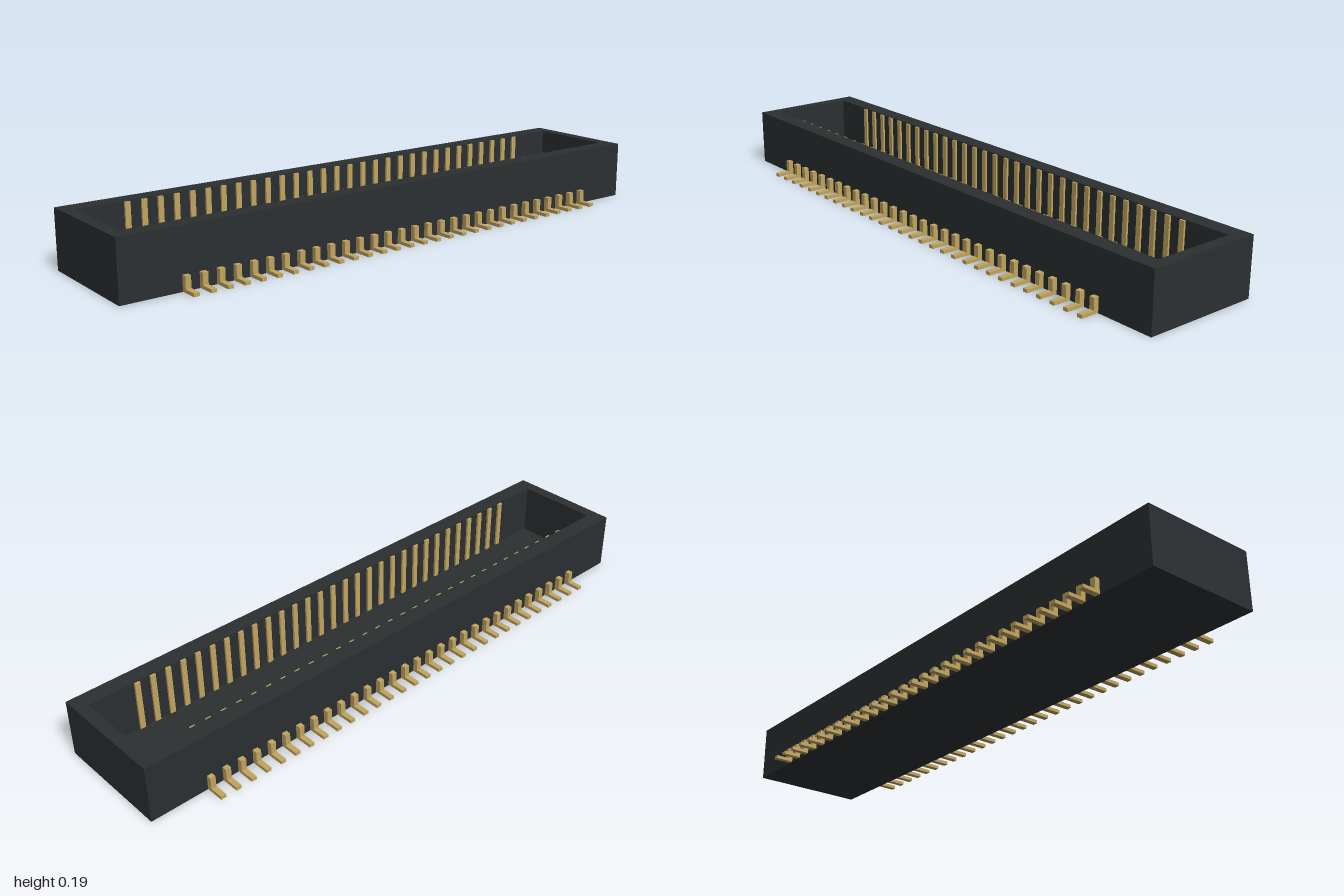
import * as THREE from 'three';

const plastic = new THREE.MeshStandardMaterial({ color: 0x2b2f31 });
const gold = new THREE.MeshStandardMaterial({ color: 0xc2a55f });

const HEIGHT = 0.192, FLOOR = 0.02;
const OUTER = { x: 1, z: 0.198 }, INNER = { x: 0.96, z: 0.141 };
const PINS = 30, FIRST_X = -0.797, PIN_WIDTH = 0.018;

function rectangle(Type, { x, z }) {
  return new Type([[-x, -z], [x, -z], [x, z], [-x, z]].map(p => new THREE.Vector2(...p)));
}

// Extrudes a z/y profile along x, centred on x = 0
function extrudeAlongX(points, width) {
  const shape = new THREE.Shape(points.map(([z, y]) => new THREE.Vector2(z, y)));
  return new THREE.ExtrudeGeometry(shape, { depth: width, bevelEnabled: false })
    .translate(0, 0, -width / 2)
    .rotateY(-Math.PI / 2);
}

function addMesh(parent, name, geometry, material) {
  const mesh = new THREE.Mesh(geometry, material);
  mesh.name = name;
  parent.add(mesh);
  return mesh;
}

export function createModel() {
  const model = new THREE.Group();
  model.name = 'pinConnector';

  // Housing: a rectangular wall ring closed by a thin floor
  const housing = new THREE.Group();
  housing.name = 'housing';
  model.add(housing);
  const ring = rectangle(THREE.Shape, OUTER);
  ring.holes.push(rectangle(THREE.Path, INNER));
  const walls = new THREE.ExtrudeGeometry(ring, { depth: HEIGHT, bevelEnabled: false });
  addMesh(housing, 'walls', walls.rotateX(-Math.PI / 2), plastic);
  const floor = new THREE.BoxGeometry(INNER.x * 2, FLOOR, INNER.z * 2);
  addMesh(housing, 'floor', floor.translate(0, FLOOR / 2, 0), plastic);

  // L-shaped solder leg outside the wall
  const leg = extrudeAlongX([
    [OUTER.z - 0.005, 0.001], [0.26, 0.001], [0.26, 0.012],
    [0.215, 0.012], [0.215, 0.05], [OUTER.z - 0.005, 0.05],
  ], PIN_WIDTH);

  // Contact strip standing against the inside of the wall
  const contactHeight = HEIGHT - 0.002 - FLOOR / 2;
  const contact = new THREE.BoxGeometry(PIN_WIDTH, contactHeight, 0.012)
    .translate(0, FLOOR / 2 + contactHeight / 2, INNER.z - 0.001);

  // Two mirrored rows of pins
  for (const [rowName, turn] of [['frontPins', 0], ['backPins', Math.PI]]) {
    const row = new THREE.Group();
    row.name = rowName;
    row.rotation.y = turn;
    model.add(row);
    for (let i = 0; i < PINS; i++) {
      const x = FIRST_X * (1 - (2 * i) / (PINS - 1));
      addMesh(row, 'solderLeg', leg, gold).position.x = x;
      addMesh(row, 'contact', contact, gold).position.x = x;
    }
  }
  return model;
}
